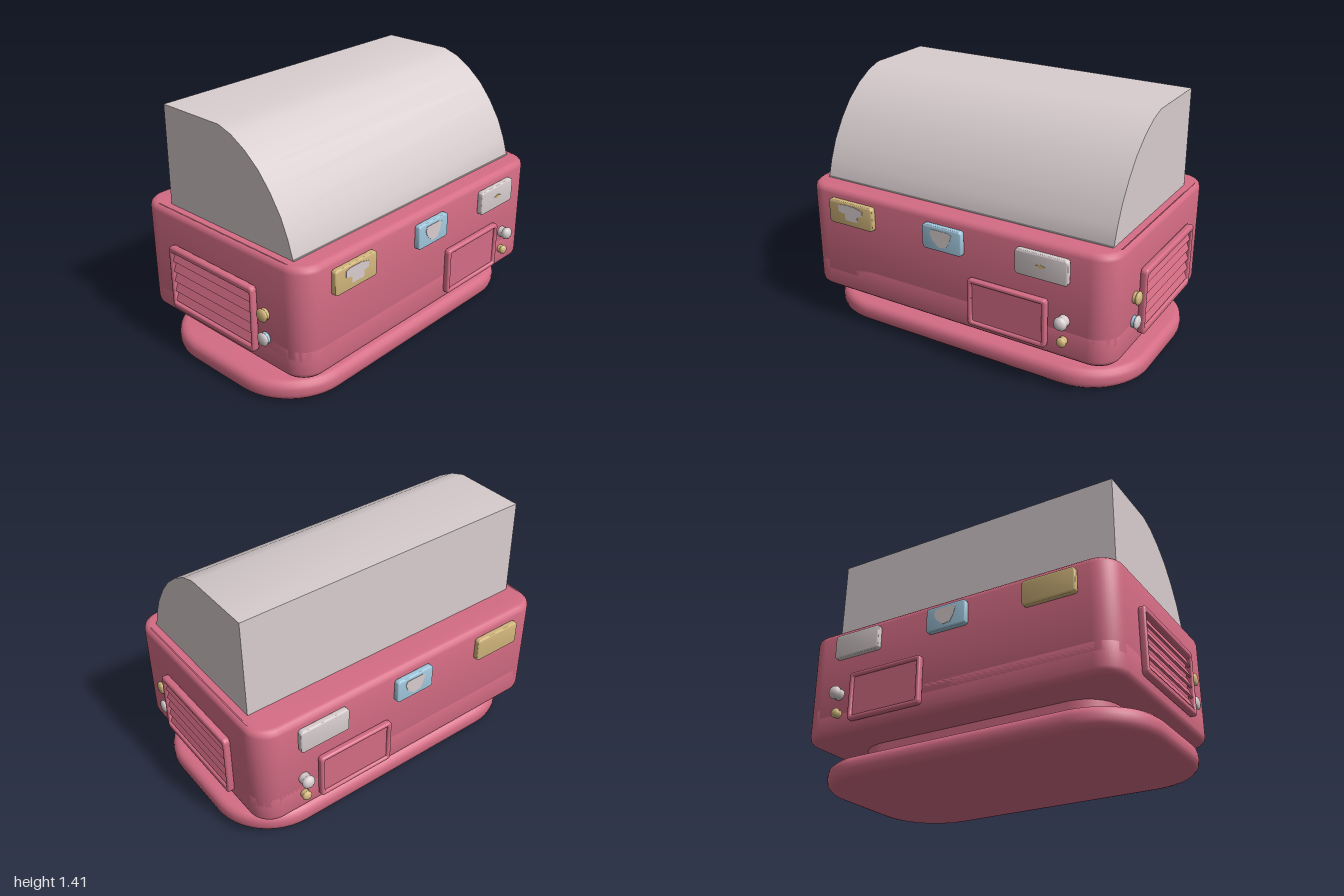
import * as THREE from 'three';
import { toCreasedNormals } from 'three/addons/utils/BufferGeometryUtils.js';

const mat = (name, color) => Object.assign(new THREE.MeshStandardMaterial({ color }), { name });

// Traces a rounded rectangle centred on the origin
function roundRect(path, w, h, r) {
  const x = w / 2, y = h / 2;
  path.moveTo(-x + r, -y);
  path.lineTo(x - r, -y);
  path.absarc(x - r, -y + r, r, -Math.PI / 2, 0);
  path.lineTo(x, y - r);
  path.absarc(x - r, y - r, r, 0, Math.PI / 2);
  path.lineTo(-x + r, y);
  path.absarc(-x + r, y - r, r, Math.PI / 2, Math.PI);
  path.lineTo(-x, -y + r);
  path.absarc(-x + r, -y + r, r, Math.PI, Math.PI * 1.5);
  return path;
}

// Bevelled slab of outer size w x h, from z = 0 to z = d, with an optional opening [w, h, r]
function slab(w, h, d, r, bevel, hole) {
  const shape = roundRect(new THREE.Shape(), w - 2 * bevel, h - 2 * bevel, Math.max(r - bevel, 0.004));
  if (hole) shape.holes.push(roundRect(new THREE.Path(), hole[0] + 2 * bevel, hole[1] + 2 * bevel, hole[2] + bevel));
  const geo = new THREE.ExtrudeGeometry(shape, {
    depth: d - 2 * bevel, bevelEnabled: bevel > 0, bevelSize: bevel,
    bevelThickness: bevel, bevelSegments: 3, curveSegments: 6,
  });
  geo.translate(0, 0, bevel);
  return toCreasedNormals(geo, 0.62);
}

export function createModel() {
  const root = new THREE.Group();
  root.name = 'machine';
  const pink = mat('pink', 0xd46c84);
  const grey = mat('warmGrey', 0xd8cdcf);
  const tan = mat('tan', 0xd2b67c);
  const blue = mat('paleBlue', 0xa2c8de);

  function add(name, geo, material, parent = root) {
    const mesh = new THREE.Mesh(geo, material);
    mesh.name = name;
    parent.add(mesh);
    return mesh;
  }
  // Slab lying flat, starting at height y
  const flat = (name, y, ...args) => add(name, slab(...args).rotateX(-Math.PI / 2), pink).position.y = y;

  // Foot, neck and open-topped tub
  flat('base', 0, 2, 1.11, 0.115, 0.36, 0.042);
  flat('neck', 0.08, 1.55, 0.78, 0.18, 0.2, 0);
  flat('tubBottom', 0.22, 1.92, 1.24, 0.2, 0.13, 0.035);
  flat('tubWall', 0.3, 1.92, 1.24, 0.55, 0.13, 0.035, [1.81, 1.0, 0.03]);
  add('tubFloor', new THREE.BoxGeometry(1.84, 0.36, 1.04), pink).position.y = 0.58;

  // Curved hood, drawn as (z, y) and swept across x
  const profile = [[-0.435, 0.75], [0.495, 0.75], [0.495, 0.855], [0.465, 0.95], [0.42, 1.055], [0.35, 1.165],
    [0.275, 1.255], [0.185, 1.33], [0.09, 1.385], [0, 1.414], [-0.425, 1.414]];
  const hood = new THREE.ExtrudeGeometry(new THREE.Shape(profile.map(([z, y]) => new THREE.Vector2(-z, y))),
    { depth: 1.79, bevelEnabled: false });
  hood.translate(0, 0, -0.895).rotateY(Math.PI / 2);
  add('hood', toCreasedNormals(hood, 0.6), grey);
  add('hoodLip', new THREE.BoxGeometry(1.79, 0.02, 0.06), grey).position.set(0, 0.845, 0.47);

  // Round knob with a short stem, pointing along +z
  function knob(name, parent, x, y, r, reach, material, stemMaterial = material) {
    const g = new THREE.Group();
    g.name = name;
    g.position.set(x, y, 0);
    parent.add(g);
    add('stem', new THREE.CylinderGeometry(r * 0.85, r * 0.85, reach * 0.6, 12).rotateX(Math.PI / 2),
      stemMaterial, g).position.z = reach * 0.3;
    const cap = add('cap', new THREE.SphereGeometry(r, 12, 8).rotateX(Math.PI / 2), material, g);
    cap.position.z = reach * 0.6;
    cap.scale.z = reach * 0.4 / r;
  }

  // Thin painted mark from a few corner points
  const mark = (points) => new THREE.ExtrudeGeometry(
    new THREE.Shape(points.map(([x, y]) => new THREE.Vector2(x, y))), { depth: 0.003, bevelEnabled: false });
  const badge = mark([[-0.06, 0.045], [-0.07, 0.02], [-0.055, -0.015], [-0.015, -0.05],
    [0.03, -0.045], [0.05, -0.01], [0.065, 0.035], [0.045, 0.045]]);
  const cloud = mark([[-0.08, 0.04], [-0.08, 0.005], [-0.035, -0.005], [-0.035, -0.04],
    [0.05, -0.04], [0.05, -0.005], [0.085, 0.005], [0.085, 0.035], [0.03, 0.05], [-0.05, 0.05]]);
  const dash = mark([[-0.03, 0], [0, -0.013], [0.03, 0], [0, 0.01]]);

  // Long faces: three label plates, a framed door and two knobs, matched front and back
  for (const s of [1, -1]) {
    const face = new THREE.Group();
    face.name = s > 0 ? 'frontFace' : 'backFace';
    face.position.z = s * 0.62;
    face.rotation.y = s > 0 ? 0 : Math.PI;
    root.add(face);
    const plates = [['tanPlate', -0.62, 0.3, tan, cloud, grey], ['bluePlate', -0.012, 0.245, blue, badge, grey],
      ['greyPlate', 0.58, 0.3, grey, dash, tan]];
    for (const [name, x, w, material, icon, iconMaterial] of plates) {
      add(name, slab(w, 0.14, 0.036, 0.018, 0.008), material, face).position.set(s * x, 0.73, 0);
      if (s > 0 || icon === badge) add(name + 'Mark', icon, iconMaterial, face).position.set(s * x, 0.735, 0.035);
    }
    add('doorFrame', slab(0.47, 0.275, 0.036, 0.02, 0.009, [0.42, 0.225, 0.008]), pink, face)
      .position.set(s * 0.376, 0.41, 0);
    add('door', new THREE.BoxGeometry(0.44, 0.245, 0.02), pink, face).position.set(s * 0.376, 0.41, 0.012);
    knob('largeKnob', face, s * 0.7, 0.45, 0.038, 0.07, grey);
    knob('smallKnob', face, s * 0.7, 0.335, 0.028, 0.045, tan);
  }

  // Short faces: louvred vent and two knobs, matched left and right
  for (const s of [1, -1]) {
    const face = new THREE.Group();
    face.name = s > 0 ? 'leftFace' : 'rightFace';
    face.position.x = s * 0.96;
    face.rotation.y = s * Math.PI / 2;
    root.add(face);
    const u = s * 0.026; // local x runs along -z on the left, +z on the right
    add('ventFrame', slab(0.655, 0.38, 0.04, 0.025, 0.01, [0.61, 0.305, 0.008]), pink, face).position.set(u, 0.476, 0);
    for (let i = 0; i < 5; i++) {
      const slat = add('louvre', new THREE.BoxGeometry(0.62, 0.055, 0.012), pink, face);
      slat.position.set(u, 0.355 + i * 0.061, 0.014);
      slat.rotation.x = -0.4;
    }
    knob('upperKnob', face, -s * 0.355, 0.53, 0.038, 0.04, tan);
    knob('lowerKnob', face, -s * 0.355, 0.39, 0.038, 0.04, grey, blue);
  }
  return root;
}
